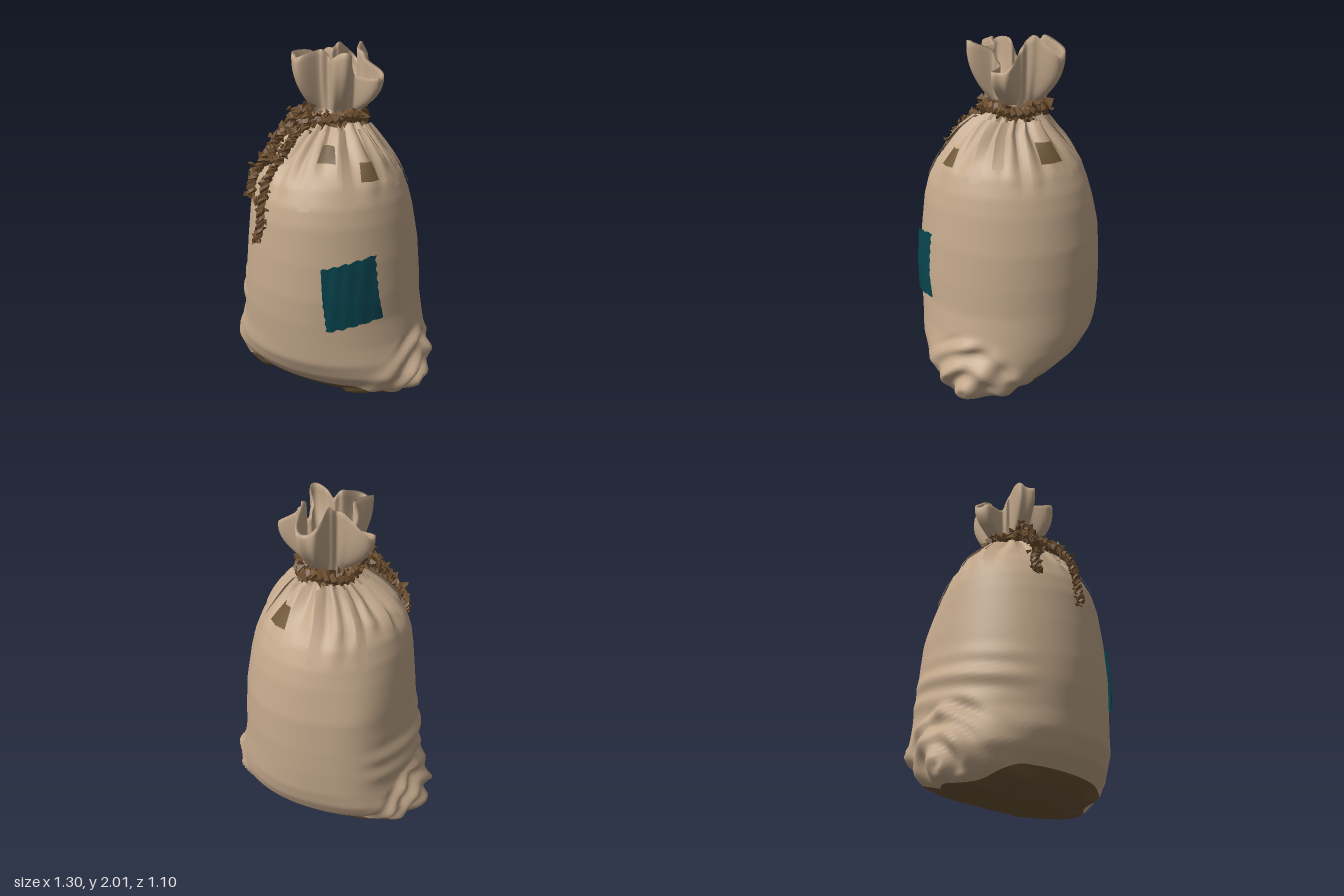
import * as THREE from 'three';
import { mergeGeometries } from 'three/addons/utils/BufferGeometryUtils.js';

const { lerp, smoothstep, degToRad } = THREE.MathUtils;
const N = 144; // points around the sack

// y, left x, right x, front z, back z
const PROFILE = [
  [0, -0.34, 0.36, 0.1, -0.14], [0.02, -0.54, 0.51, 0.18, -0.22], [0.05, -0.6, 0.56, 0.26, -0.31],
  [0.1, -0.62, 0.6, 0.33, -0.39], [0.2, -0.63, 0.62, 0.42, -0.48], [0.3, -0.59, 0.59, 0.47, -0.53],
  [0.4, -0.55, 0.56, 0.48, -0.55], [0.55, -0.53, 0.53, 0.495, -0.555], [0.7, -0.51, 0.52, 0.5, -0.555],
  [0.9, -0.49, 0.5, 0.49, -0.545], [1.1, -0.465, 0.465, 0.47, -0.51], [1.2, -0.45, 0.44, 0.445, -0.48],
  [1.3, -0.42, 0.4, 0.395, -0.43], [1.4, -0.36, 0.33, 0.31, -0.35], [1.5, -0.25, 0.24, 0.21, -0.26],
  [1.57, -0.165, 0.165, 0.12, -0.21], [1.64, -0.13, 0.13, 0.07, -0.19],
];

// Ellipse of the sack at a height: centre and half sizes
function section(y) {
  let i = 0;
  while (i < PROFILE.length - 2 && PROFILE[i + 1][0] < y) i++;
  const p = PROFILE[i], q = PROFILE[i + 1], t = (y - p[0]) / (q[0] - p[0]);
  const [l, r, f, b] = [1, 2, 3, 4].map((k) => lerp(p[k], q[k], t));
  return { cx: (l + r) / 2, cz: (f + b) / 2, a: (r - l) / 2, b: (f - b) / 2 };
}

// Gathered pleats below the neck and crumpled bottom corners
function bodyPoint(y, th, offset = 0) {
  const s = section(y), c = Math.cos(th), n = Math.sin(th);
  const phase = 9 * th + 0.9 * Math.sin(3 * th + 1);
  const start = 1.24 + 0.08 * Math.sin(5 * th + 2);
  const pleat = smoothstep(y, start, 1.5) * (1 - 0.6 * smoothstep(y, 1.52, 1.63));
  let d = offset + 0.045 * pleat * (Math.pow(Math.abs(Math.sin(phase)), 1.5) - 0.45);
  const z = s.cz + s.b * n, rho = Math.hypot(z + 0.02, (y - 0.1) * 1.05);
  const reach = c < 0 ? 0.42 : 0.36;
  const mask = Math.abs(c) > 0.45 ? 1 - smoothstep(rho, reach * 0.75, reach) : 0;
  d += mask * (0.018 * Math.sin(48 * rho + 2 * Math.sin(9 * z)) + 0.012 * Math.sin(31 * z + 24 * y) + 0.008);
  // loose fold higher up on one side
  const side = smoothstep(-c, 0.6, 0.95) * Math.exp(-(((y - 0.58) / 0.13) ** 2));
  d += side * (0.012 + 0.012 * Math.sin(45 * y + 7 * z));
  // fuller back corner
  d += 0.035 * Math.exp(-(((th - 3.95) / 0.35) ** 2)) * smoothstep(y, 0.1, 0.3) * (1 - smoothstep(y, 0.9, 1.25));
  return [s.cx + (s.a + d) * c, y, s.cz + (s.b + d) * n];
}

// Height of the seam between the sides and the bottom panel
const seamY = (th) => lerp(0.125, 0.03, smoothstep(Math.abs(Math.cos(th)), 0.55, 0.92));

// Ruffle above the neck, with lobes at these angles
const LOBES = [-90, -3, 50, 118, 190, 270].map(degToRad);
function rufflePoint(t, angle, inset) {
  const th = angle > LOBES[5] ? angle - Math.PI * 2 : angle;
  let i = 0;
  while (i < 4 && th > LOBES[i + 1]) i++;
  const wave = Math.cos(2 * Math.PI * (th - LOBES[i]) / (LOBES[i + 1] - LOBES[i]));
  const lobe = Math.tanh(1.8 * wave) / Math.tanh(1.8), n = Math.sin(th);
  const grow = Math.sin(Math.pow(t, 0.85) * Math.PI * 0.55);
  const r = lerp(0.125, 0.208 + 0.062 * lobe + 0.009 * Math.sin(17 * th), grow) - inset;
  const droop = n < 0 ? -0.05 * lobe * n * n : 0;
  const top = 1.83 + 0.13 * smoothstep(Math.abs(n), 0.15, 0.7) + 0.025 * Math.sin(th * 8 + 1) * n + droop;
  return [r * Math.cos(th), lerp(1.64, top, t), -0.07 + r * n];
}

// Surface through a list of closed rings
function loft(rings) {
  const idx = [];
  for (let i = 0; i < rings.length - 1; i++) {
    for (let j = 0; j < N; j++) {
      const a = i * N + j, b = i * N + ((j + 1) % N), c = a + N, d = b + N;
      idx.push(a, c, b, b, c, d);
    }
  }
  const g = new THREE.BufferGeometry();
  g.setAttribute('position', new THREE.Float32BufferAttribute(rings.flat(2), 3));
  g.setIndex(idx);
  g.computeVertexNormals();
  return g;
}
const ring = (fn) => Array.from({ length: N }, (_, j) => fn((j / N) * Math.PI * 2));

function sackGeometry() {
  const rings = [];
  for (let k = 0; k <= 80; k++) rings.push(ring((th) => bodyPoint(lerp(seamY(th), 1.64, k / 80), th)));
  for (let k = 0; k <= 10; k++) rings.push(ring((th) => rufflePoint(k / 10, th, 0)));
  for (let k = 10; k >= 0; k--) rings.push(ring((th) => rufflePoint(k / 10, th, 0.018)));
  return loft(rings);
}

function bottomGeometry() {
  const rings = [ring(() => [0, 0, -0.02])];
  for (let k = 0; k <= 8; k++) rings.push(ring((th) => bodyPoint(seamY(th) * k / 8, th)));
  return loft(rings);
}

// Thin strip lying on the shoulder, lifted more towards the neck
function stripGeometry(th, width, y0, y1, lift0, lift1) {
  const g = new THREE.PlaneGeometry(1, 1, 2, 6), p = g.attributes.position;
  for (let i = 0; i < p.count; i++) {
    const u = p.getX(i), v = p.getY(i) + 0.5, y = lerp(y0, y1, v), s = section(y);
    const a = th - (u * width * lerp(1, 0.6, v)) / Math.max(0.18, (s.a + s.b) / 2);
    p.setXYZ(i, ...bodyPoint(y, a, lerp(lift0, lift1, v)));
  }
  g.computeVertexNormals();
  return g;
}

// Patch following the curve of the sack, with a ragged border
function patchGeometry() {
  const M = 14, g = new THREE.PlaneGeometry(1, 1, M, M), p = g.attributes.position;
  for (let i = 0; i < p.count; i++) {
    const u = p.getX(i) + 0.5, v = p.getY(i) + 0.5;
    let x = lerp(lerp(0.25, 0.48, u), lerp(0.22, 0.435, u), v);
    let y = lerp(lerp(0.525, 0.585, u), lerp(0.89, 0.95, u), v);
    if (Math.abs(u - 0.5) > 0.49) x += 0.005 * Math.sin(i * 2.3);
    if (Math.abs(v - 0.5) > 0.49) y += 0.006 * Math.sin(i * 2.1);
    const s = section(y), off = 0.017 + 0.002 * Math.sin(i * 1.7);
    const q = Math.min(0.995, (x - s.cx) / (s.a + off));
    p.setXYZ(i, x, y, s.cz + (s.b + off) * Math.sqrt(1 - q * q));
  }
  g.computeVertexNormals();
  return g;
}

// Small seeded random numbers
let seed = 7;
const rnd = () => (seed = (seed * 16807) % 2147483647) / 2147483647;

// Two twisted strands along a path, with frayed fibres
function ropeGeometry(points, closed, radius, turns, fibres) {
  const path = new THREE.CatmullRomCurve3(points.map((p) => new THREE.Vector3(...p)), closed);
  const steps = turns * 6, frames = path.computeFrenetFrames(steps, closed), parts = [];
  for (const shift of [0, Math.PI]) {
    const pts = [];
    for (let i = 0; i < steps + (closed ? 0 : 1); i++) {
      const a = (i / steps) * turns * Math.PI * 2 + shift;
      pts.push(path.getPointAt(i / steps)
        .addScaledVector(frames.normals[i], Math.cos(a) * radius * 0.55)
        .addScaledVector(frames.binormals[i], Math.sin(a) * radius * 0.55));
    }
    const strand = new THREE.CatmullRomCurve3(pts, closed);
    parts.push(new THREE.TubeGeometry(strand, steps, radius * 0.55, 4, closed).toNonIndexed());
  }
  for (let i = 0; i < fibres; i++) {
    const f = new THREE.TetrahedronGeometry(radius * (0.7 + 0.5 * rnd()));
    f.scale(1, 0.5 + rnd(), 0.5);
    f.rotateX(rnd() * 6).rotateY(rnd() * 6).rotateZ(rnd() * 6);
    const c = path.getPointAt(i / fibres), k = radius * 2;
    f.translate(c.x + (rnd() - 0.5) * k, c.y + (rnd() - 0.5) * k, c.z + (rnd() - 0.5) * k);
    parts.push(f);
  }
  const g = mergeGeometries(parts);
  g.computeVertexNormals(); // non-indexed, so faceted
  return g;
}

export function createModel() {
  const model = new THREE.Group();
  const mat = (name, color) => {
    const m = new THREE.MeshStandardMaterial({ color, side: THREE.DoubleSide });
    m.name = name;
    return m;
  };
  const cloth = mat('burlap', 0xc3a88b), cord = mat('rope brown', 0x6f5030);
  const teal = mat('patch teal', 0x08434d), dark = mat('bottom brown', 0x6e5637);
  const add = (name, geometry, material, parent = model) => {
    const mesh = new THREE.Mesh(geometry, material);
    mesh.name = name;
    parent.add(mesh);
    return mesh;
  };

  add('sack', sackGeometry(), cloth);
  add('bottomPanel', bottomGeometry(), dark);
  add('patch', patchGeometry(), teal);

  // Dark floor inside the closed neck
  const floor = add('sackInside', new THREE.CircleGeometry(0.125, 24).rotateX(-Math.PI / 2), dark);
  floor.position.set(0, 1.63, -0.065);

  // Loose pleats around the shoulder, and dark gaps between them
  for (let i = 0; i < 18; i++) {
    const th = (i + 0.3 * Math.sin(i * 4.1)) / 18 * Math.PI * 2;
    const low = 1.27 + 0.08 * Math.sin(i * 2.7);
    add('pleat', stripGeometry(th, 0.06, low, 1.56, 0.012, 0.025), cloth);
  }
  for (const [deg, width, y0, y1] of [[-62, 0.13, 1.36, 1.46], [28, 0.1, 1.33, 1.42], [63, 0.09, 1.42, 1.5]]) {
    add('pleatGap', stripGeometry(degToRad(deg), width, y0, y1, 0.028, 0.028), dark);
  }

  // Tie around the neck with knot, bow loop and two hanging ends
  const rope = new THREE.Group();
  rope.name = 'rope';
  model.add(rope);
  const loop = [];
  for (let i = 0; i < 16; i++) {
    const a = (i / 16) * Math.PI * 2;
    loop.push([0.155 * Math.cos(a), 1.615 + 0.012 * Math.sin(3 * a), -0.065 + 0.16 * Math.sin(a)]);
  }
  add('neckTie', ropeGeometry(loop, true, 0.037, 16, 110), cord, rope);
  add('knot', ropeGeometry([[-0.08, 1.65, 0.09], [-0.14, 1.64, 0.13], [-0.15, 1.57, 0.18], [-0.08, 1.56, 0.17]],
    true, 0.034, 6, 26), cord, rope);
  add('bowLoop', ropeGeometry([[-0.11, 1.61, 0.13], [-0.2, 1.54, 0.2], [-0.2, 1.45, 0.29], [-0.14, 1.41, 0.34],
    [-0.1, 1.48, 0.27]], true, 0.026, 10, 40), cord, rope);
  add('sideRopeEnd', ropeGeometry([[-0.13, 1.61, 0.14], [-0.2, 1.5, 0.24], [-0.25, 1.38, 0.32], [-0.31, 1.28, 0.33],
    [-0.31, 1.19, 0.35]], false, 0.027, 9, 45), cord, rope);
  add('frontRopeEnd', ropeGeometry([[-0.1, 1.6, 0.14], [-0.1, 1.47, 0.3], [-0.13, 1.33, 0.43], [-0.14, 1.2, 0.48],
    [-0.14, 1.08, 0.5], [-0.15, 1.0, 0.52]], false, 0.025, 11, 55), cord, rope);

  return model;
}
